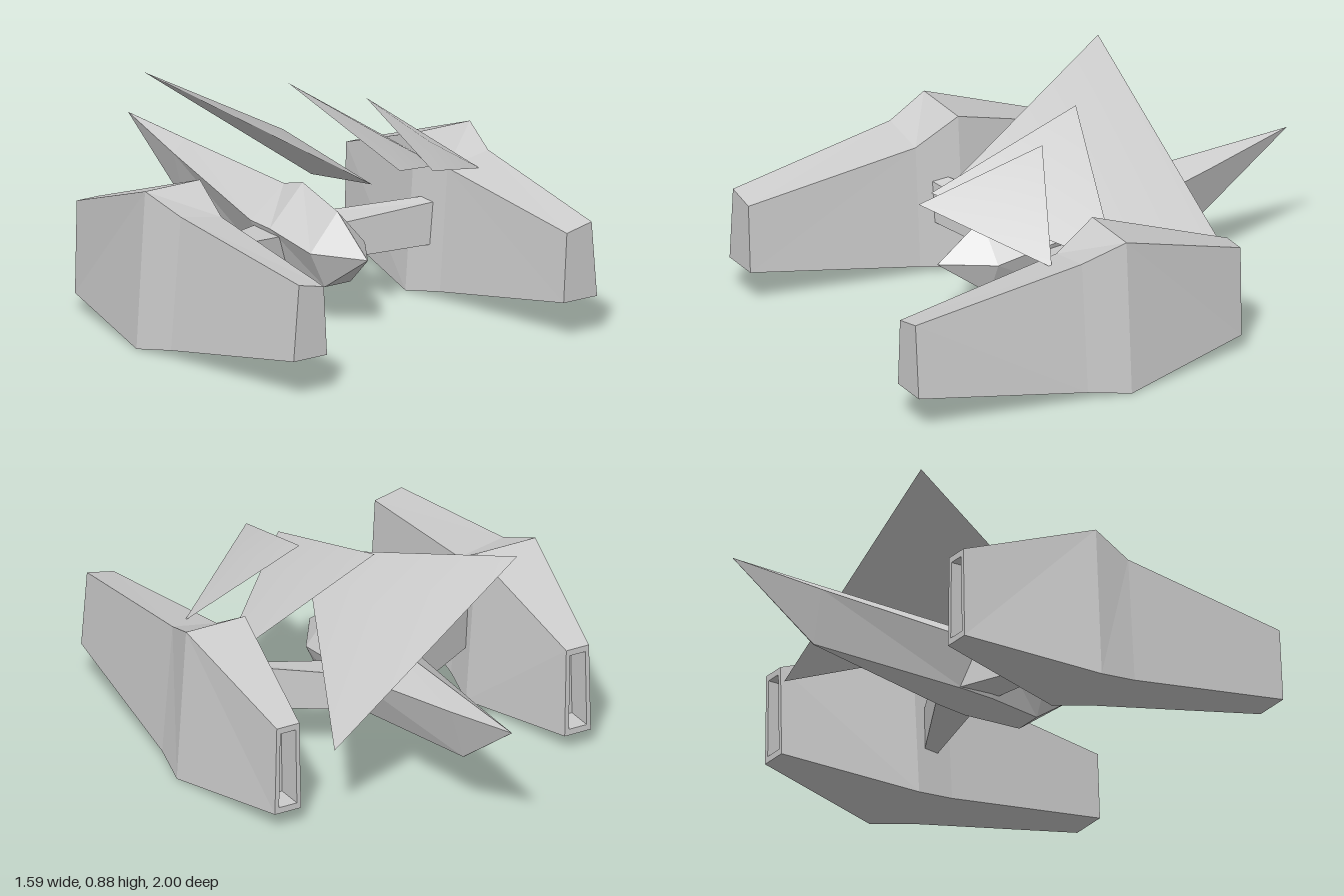
import * as THREE from 'three';

const material = new THREE.MeshStandardMaterial({ color: 0xcccccc, flatShading: true, side: THREE.DoubleSide });
const smooth = new THREE.MeshStandardMaterial({ color: 0xcccccc, side: THREE.DoubleSide });

// Faceted skin through rings of points; each ring runs counter-clockwise seen from the first end.
function loft(name, rings, mirrored = false) {
  const pos = [];
  const place = ([x, y, z]) => (mirrored ? [-x, y, z] : [x, y, z]);
  const tri = (a, b, c) => pos.push(...place(a), ...(mirrored ? [...place(c), ...place(b)] : [...place(b), ...place(c)]));
  const n = rings[0].length, last = rings[rings.length - 1];
  for (let i = 0; i < rings.length - 1; i++) {
    for (let j = 0; j < n; j++) {
      const k = (j + 1) % n, r = rings[i], s = rings[i + 1];
      tri(r[j], s[j], r[k]);
      tri(r[k], s[j], s[k]);
    }
  }
  for (let j = 1; j < n - 1; j++) {
    tri(rings[0][0], rings[0][j], rings[0][j + 1]);
    tri(last[0], last[j + 1], last[j]);
  }
  const geo = new THREE.BufferGeometry();
  geo.setAttribute('position', new THREE.Float32BufferAttribute(pos, 3));
  geo.computeVertexNormals();
  const mesh = new THREE.Mesh(geo, material);
  mesh.name = name;
  return mesh;
}

// Four-cornered pod section: bottom inner/outer x and y, top inner/outer x with their heights
const podRing = (z, bi, bo, yb, ti, to, yi, yo) => [[bi, yb, z], [bo, yb, z], [to, yo, z], [ti, yi, z]];

function pod(name, mirrored) {
  return loft(name, [
    podRing(1.0, 0.55, 0.705, 0.15, 0.565, 0.68, 0.42, 0.445),
    podRing(0.3, 0.49, 0.76, 0.03, 0.525, 0.715, 0.51, 0.545),
    podRing(0.13, 0.455, 0.795, 0.0, 0.50, 0.755, 0.61, 0.61),
    podRing(-0.41, 0.57, 0.683, 0.065, 0.577, 0.675, 0.425, 0.425),
    // rim and recess of the open rear end
    podRing(-0.41, 0.588, 0.665, 0.09, 0.593, 0.659, 0.40, 0.40),
    podRing(-0.30, 0.588, 0.665, 0.09, 0.593, 0.659, 0.40, 0.40),
  ], mirrored);
}

function strut(name, mirrored) {
  const ring = (x, yb, yt, zb, zf) => [[x, yb, zf], [x, yb, zb], [x, yt, zb], [x, yt - 0.01, zf]];
  return loft(name, [
    ring(0.505, 0.20, 0.375, 0.185, 0.24),
    ring(0.08, 0.18, 0.325, -0.04, 0.125),
  ], mirrored);
}

// Five-sided hull section
const hullRing = (z, top, sx, sy, bx, by) =>
  [[-bx, by, z], [bx, by, z], [sx, sy, z], [0, top, z], [-sx, sy, z]];

function hull() {
  return loft('hull', [
    hullRing(0.51, 0.295, 0.001, 0.295, 0.001, 0.294),
    hullRing(0.32, 0.44, 0.127, 0.297, 0.06, 0.155),
    hullRing(0.1, 0.5, 0.153, 0.345, 0.09, 0.165),
    hullRing(-0.02, 0.467, 0.155, 0.35, 0.085, 0.175),
    hullRing(-0.64, 0.487, 0.057, 0.44, 0.002, 0.235),
    hullRing(-1, 0.5, 0.0005, 0.5, 0.0005, 0.499),
  ]);
}

// Triangular fin: flat underside and a softly raised middle
function fin(name, corners, rise) {
  const [a, b, c] = corners.map((p) => new THREE.Vector3(...p));
  const normal = b.clone().sub(a).cross(c.clone().sub(a)).normalize();
  if (normal.y < 0) normal.negate();
  const peak = a.clone().add(b).add(c).divideScalar(3).addScaledVector(normal, rise);
  const pts = [a, c, b, peak, a, c, b];
  const geo = new THREE.BufferGeometry().setFromPoints(pts);
  geo.setIndex([0, 1, 3, 1, 2, 3, 2, 0, 3, 4, 6, 5]);
  geo.computeVertexNormals();
  const mesh = new THREE.Mesh(geo, smooth);
  mesh.name = name;
  return mesh;
}

export function createModel() {
  const group = new THREE.Group();
  group.name = 'spacecraft';
  group.add(hull());
  for (const [side, mirrored] of [['left', false], ['right', true]]) {
    group.add(pod(side + 'Pod', mirrored), strut(side + 'Strut', mirrored));
  }
  // Overlapping fins, from the large rear one to the small front one
  group.add(
    fin('largeFin', [[-0.37, 0.875, -0.4], [0.46, 0.305, -0.47], [0.02, 0.59, 0.51]], 0.06),
    fin('middleFin', [[0.05, 0.84, -0.06], [0.63, 0.45, 0.1], [0.09, 0.65, 0.59]], 0.025),
    fin('smallFin', [[0.23, 0.81, 0.19], [0.62, 0.51, 0.375], [0.17, 0.66, 0.69]], 0.02),
  );
  return group;
}
